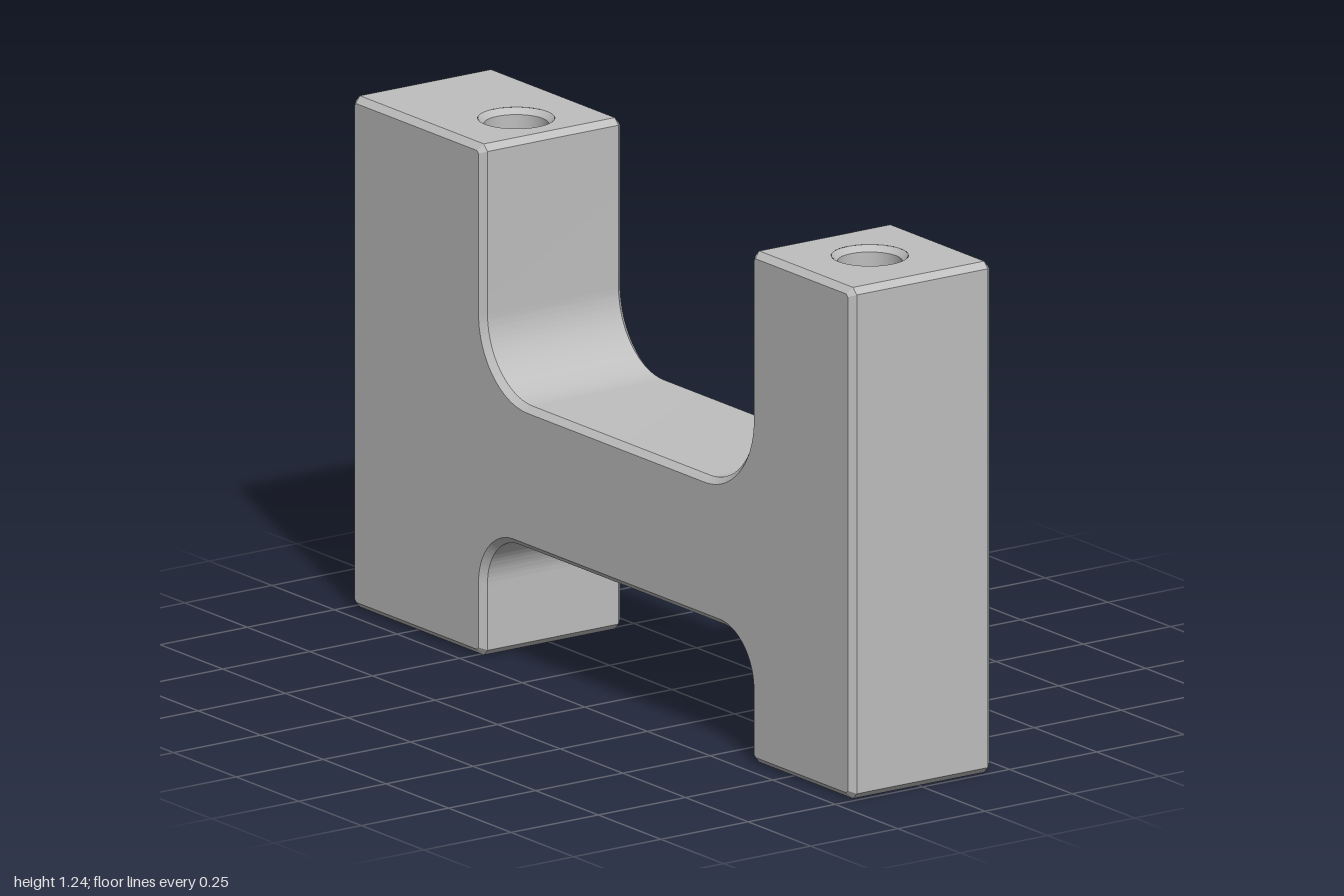
import * as THREE from 'three';
import { toCreasedNormals } from 'three/addons/utils/BufferGeometryUtils.js';

const H = 1.24, W = 0.203;            // height, half width
const C = 0.015;                      // chamfer
const A = 0.595, B = -0.475;          // inner walls of the front and back legs
const TOP = 0.65, LOW = 0.302;        // upper and lower faces of the bridge
const R = 0.182, r = 0.125;           // upper and lower fillets
const HOLE = 0.076, RIM = 0.09;

// H-shaped outline in (z, y) with chamfered corners
function profile() {
  const s = new THREE.Shape();
  const line = (...pts) => pts.forEach(([z, y]) => s.lineTo(z, y));
  const Q = Math.PI / 2;
  s.moveTo(1, C);
  line([1, H - C], [1 - C, H], [A + C, H], [A, H - C]);
  s.absarc(A - R, TOP + R, R, 0, -Q, true);
  s.absarc(B + R, TOP + R, R, -Q, -2 * Q, true);
  line([B, H - C], [B - C, H], [-1 + C, H], [-1, H - C], [-1, C], [-1 + C, 0], [B - C, 0], [B, C]);
  s.absarc(B + r, LOW - r, r, 2 * Q, Q, true);
  s.absarc(A - r, LOW - r, r, Q, 0, true);
  line([A, C], [A + C, 0], [1 - C, 0]);
  s.closePath();
  return s;
}

// Remove the triangles that lie wholly in a plane, given as [axis, value]
function removeFaces(geo, planes) {
  const p = geo.attributes.position.array, kept = [];
  for (let i = 0; i < p.length; i += 9) {
    const flat = planes.some(([axis, v]) =>
      [0, 3, 6].every(k => Math.abs(p[i + k + axis] - v) < 1e-4));
    if (!flat) kept.push(...p.slice(i, i + 9));
  }
  const out = new THREE.BufferGeometry();
  out.setAttribute('position', new THREE.Float32BufferAttribute(kept, 3));
  return out;
}

export function createModel() {
  const model = new THREE.Group();
  model.name = 'bracket';
  const grey = new THREE.MeshStandardMaterial({ color: 0xbfbfbf });
  grey.name = 'grey metal';

  const add = (parent, name, geo) => {
    const mesh = new THREE.Mesh(geo, grey);
    mesh.name = name;
    parent.add(mesh);
    return mesh;
  };

  // Chamfered body, left open where the drilled faces go
  const depth = 2 * (W - C);
  const body = new THREE.ExtrudeGeometry(profile(), {
    depth, curveSegments: 24, bevelEnabled: true, bevelSegments: 1,
    bevelThickness: C, bevelSize: C, bevelOffset: -C,
  });
  body.translate(0, 0, -depth / 2).rotateY(-Math.PI / 2);
  add(model, 'body', toCreasedNormals(removeFaces(body, [[1, 0], [1, H], [2, -1]]), 0.4));

  // Flat face with blind holes, facing local +z; holes are [x, y] from its centre
  function drilledFace(name, height, holes, holeDepth) {
    const group = new THREE.Group();
    group.name = name;
    const w = W - C, h = height / 2;
    const face = new THREE.Shape([[-w, -h], [w, -h], [w, h], [-w, h]]
      .map(([x, y]) => new THREE.Vector2(x, y)));
    const bore = toCreasedNormals(new THREE.LatheGeometry([
      [RIM, 0], [HOLE, HOLE - RIM], [HOLE, -holeDepth], [0, -holeDepth],
    ].map(([x, y]) => new THREE.Vector2(x, y)), 32).rotateX(Math.PI / 2), 0.5);
    for (const [x, y] of holes) {
      face.holes.push(new THREE.Path().absarc(x, y, RIM, 0, Math.PI * 2, true));
      add(group, 'hole', bore).position.set(x, y, 0);
    }
    add(group, 'face', new THREE.ShapeGeometry(face, 32));
    model.add(group);
    return group;
  }

  // Top and bottom of each leg
  const legs = [
    { name: 'front', z0: A + C, z1: 1 - C, top: 0.79, low: 0.785 },
    { name: 'back', z0: -1 + C, z1: B - C, top: -0.622, low: -0.67 },
  ];
  for (const { name, z0, z1, top, low } of legs) {
    const mid = (z0 + z1) / 2;
    const upper = drilledFace(name + 'LegTop', z1 - z0, [[0, mid - top]], 0.3);
    upper.rotation.x = -Math.PI / 2;
    upper.position.set(0, H, mid);
    const lower = drilledFace(name + 'LegBottom', z1 - z0, [[-0.055, low - mid]], 0.25);
    lower.rotation.x = Math.PI / 2;
    lower.position.set(0, 0, mid);
  }

  // Back face with two holes set off centre
  const back = drilledFace('backFace', H - 2 * C,
    [0.975, 0.375].map(y => [-0.057, y - H / 2]), 0.28);
  back.rotation.y = Math.PI;
  back.position.set(0, H / 2, -1);

  return model;
}
